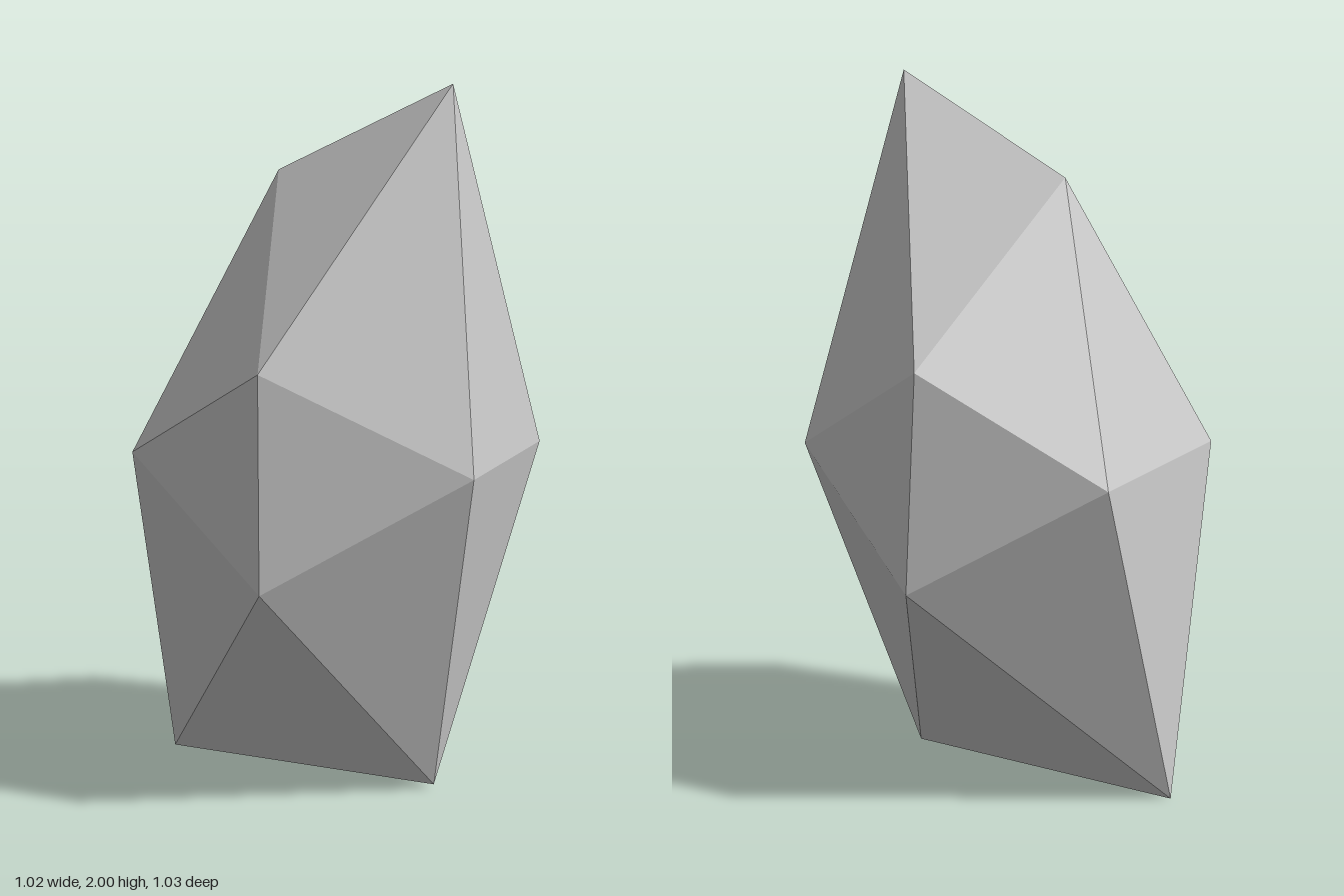
import * as THREE from 'three';

// Corners of an irregular twenty-sided rock, as three crossed quads
const corners = [
  // upright quad: crown, then base
  [-0.16, 1.74, 0.024], [0.36, 2, 0.024], [-0.513, 0, 0.024], [0.323, 0.012, 0.024],
  // front pair, then back pair (lower, upper)
  [0.02, 0.667, 0.515], [0.02, 1.272, 0.515], [0.02, 0.667, -0.515], [0.02, 1.272, -0.463],
  // waist: left side, then right side (back, front)
  [0.51, 0.97, -0.278], [0.51, 0.97, 0.209], [-0.468, 0.97, -0.278], [-0.468, 0.97, 0.327],
];

// Icosahedron facets, counter-clockwise from outside
const facets = [
  0, 11, 5, 0, 5, 1, 0, 1, 7, 0, 7, 10, 0, 10, 11,
  1, 5, 9, 5, 11, 4, 11, 10, 2, 10, 7, 6, 7, 1, 8,
  3, 9, 4, 3, 4, 2, 3, 2, 6, 3, 6, 8, 3, 8, 9,
  4, 9, 5, 2, 4, 11, 6, 2, 10, 8, 6, 7, 9, 8, 1,
];

export function createModel() {
  const indexed = new THREE.BufferGeometry();
  indexed.setAttribute('position', new THREE.Float32BufferAttribute(corners.flat(), 3));
  indexed.setIndex(facets);
  const geometry = indexed.toNonIndexed();
  geometry.computeVertexNormals();

  const rock = new THREE.Mesh(
    geometry,
    new THREE.MeshStandardMaterial({ color: 0xcccccc, flatShading: true })
  );
  rock.name = 'rock';

  const model = new THREE.Group();
  model.name = 'facetedRock';
  model.add(rock);
  return model;
}
